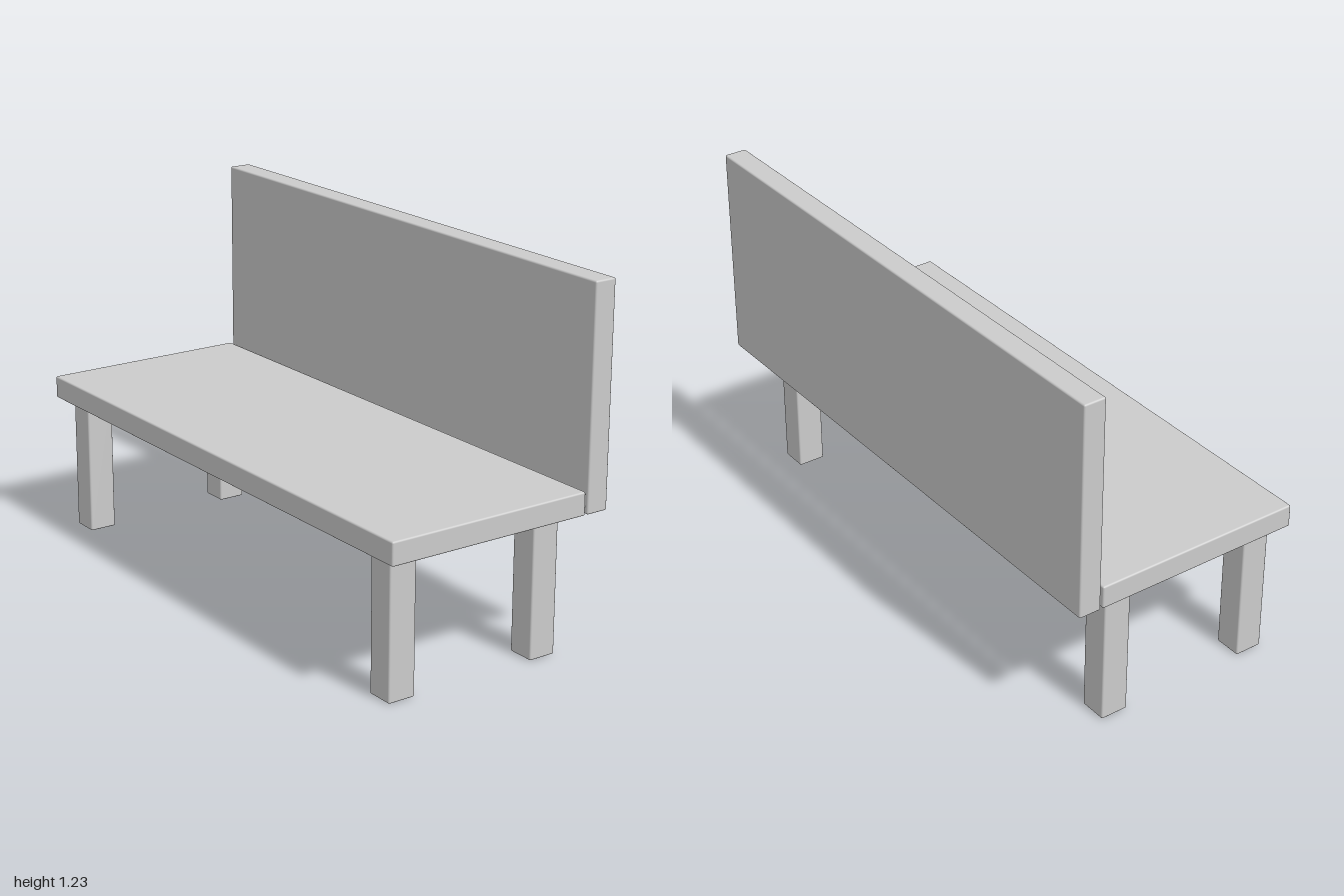
import * as THREE from 'three';
import { RoundedBoxGeometry } from 'three/addons/geometries/RoundedBoxGeometry.js';

export function createModel() {
  const bench = new THREE.Group();
  bench.name = 'bench';
  const material = new THREE.MeshStandardMaterial({ color: 0xcccccc });

  // Softly bevelled board, standing on y = bottom
  function board(name, width, height, depth, x, bottom, z) {
    const mesh = new THREE.Mesh(new RoundedBoxGeometry(width, height, depth, 2, 0.006), material);
    mesh.name = name;
    mesh.position.set(x, bottom + height / 2, z);
    bench.add(mesh);
  }

  const legHeight = 0.478;
  const thickness = 0.079;

  // Seat, with a narrow gap before the backrest
  board('seat', 2, thickness, 0.746, 0, legHeight, 0.044);
  board('backrest', 2, 0.748, thickness, 0, legHeight, -0.378);

  // Four square legs, set slightly off centre
  for (const [side, x] of [['Right', -0.904], ['Left', 0.881]]) {
    for (const [end, z] of [['front', 0.322], ['back', -0.233]]) {
      board(`${end}${side}Leg`, 0.097, legHeight, 0.098, x, 0, z);
    }
  }

  return bench;
}
